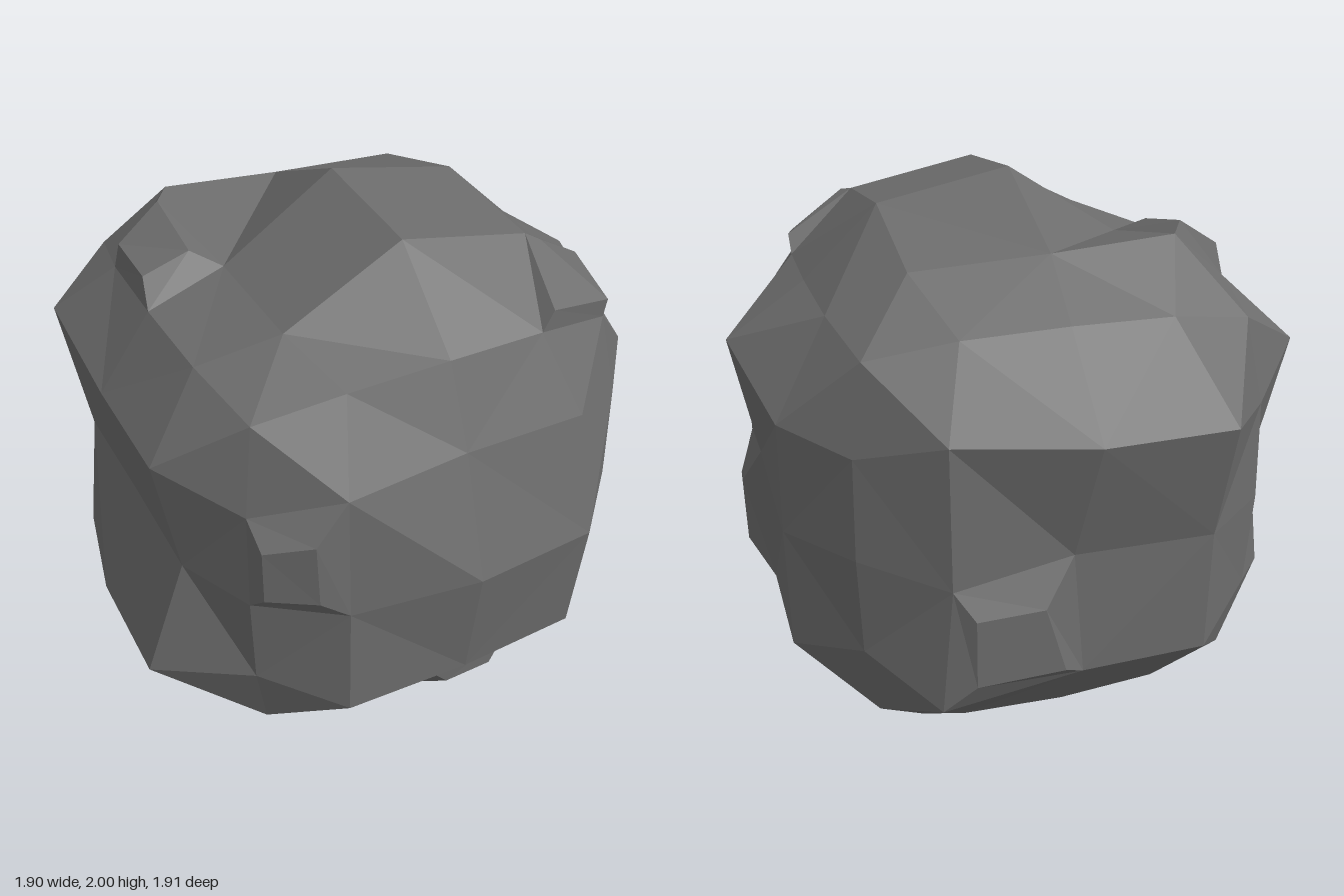
import * as THREE from 'three';

const MID = 0.99; // height of the boulder's middle

// Dents and spikes: lattice points pushed away from the regular rounded block
const moved = {
  // top
  '0,2,0': [-0.02, 2, -0.02], '0,2,1': [-0.02, 1.95, 0.42], '1,2,0': [0.43, 1.91, -0.02], '1,2,1': [0.43, 1.86, 0.42],
  '-1,2,1': [-0.42, 1.75, 0.43], '-1,2,0': [-0.41, 1.75, -0.02], '-1,2,-1': [-0.43, 1.85, -0.45],
  '0,2,-1': [-0.02, 1.82, -0.44], '1,2,-1': [0.43, 1.8, -0.43],
  // bottom
  '0,-2,0': [-0.02, 0, -0.02], '0,-2,1': [0, 0.04, 0.43], '1,-2,0': [0.43, 0.08, 0], '1,-2,1': [0.43, 0.13, 0.43],
  '-1,-2,1': [-0.43, 0.2, 0.43], '1,-2,-1': [0.43, 0.15, -0.43],
  // front
  '0,0,2': [-0.01, 1.01, 0.95], '1,0,2': [0.43, 1, 0.92], '0,-1,2': [0, 0.56, 0.89], '1,-1,2': [0.43, 0.56, 0.88],
  '-1,1,2': [-0.43, 1.43, 0.85], '0,1,2': [0, 1.41, 0.8], '1,1,2': [0.43, 1.4, 0.8],
  // left side
  '2,1,0': [0.95, 1.5, -0.02], '2,0,0': [0.875, 1.08, -0.02], '2,0,1': [0.865, 0.97, 0.41],
  '2,1,-1': [0.86, 1.38, -0.47], '2,1,1': [0.86, 1.37, 0.46],
  // right side
  '-2,-1,0': [-0.95, 0.58, -0.02], '-2,-1,1': [-0.95, 0.58, 0.42], '-2,0,0': [-0.8, 1.01, 0],
  '-2,0,1': [-0.8, 1, 0.43], '-2,0,-1': [-0.8, 1, -0.43], '-2,1,-1': [-0.86, 1.47, -0.5],
  // back
  '0,1,-2': [0, 1.4, -0.96], '-1,1,-2': [-0.43, 1.4, -0.96], '0,0,-2': [0.04, 1, -0.86],
  '1,0,-2': [0.43, 0.95, -0.875], '1,-1,-2': [0.47, 0.52, -0.88],
};

// Knobs: a cell (by its lattice middle) raised to a smaller cap
const knobs = {
  '-1.5,0.5,2': [[-0.67, 1.08, 0.77], [-0.53, 1.08, 0.86], [-0.54, 1.31, 0.86], [-0.67, 1.27, 0.77]],
  '2,-0.5,0.5': [[0.94, 0.68, 0.1], [0.94, 0.92, 0.1], [0.93, 0.86, 0.28], [0.93, 0.68, 0.28]],
  '0.5,-0.5,-2': [[0.08, 0.62, -0.92], [0.37, 0.62, -0.92], [0.37, 0.86, -0.92], [0.15, 0.86, -0.92]],
  '-1.5,2,-0.5': [[-0.66, 1.76, -0.3], [-0.66, 1.75, -0.08], [-0.5, 1.8, -0.08], [-0.5, 1.86, -0.34]],
  '1.5,2,1.5': [[0.46, 1.85, 0.46], [0.385, 1.72, 0.66], [0.63, 1.67, 0.62], [0.67, 1.72, 0.39]],
  '0.5,-2,1.5': [[0.09, 0.05, 0.53], [0.09, 0.2, 0.67], [0.28, 0.2, 0.67], [0.31, 0.09, 0.53]],
};

// Lattice point (-2..2 on each axis) to its place on the rounded block
function place(p) {
  const key = p.join();
  if (moved[key]) return moved[key];
  const outer = p.filter((c) => Math.abs(c) === 2).length;
  const inner = p.find((c) => Math.abs(c) < 2) ?? 2;
  const far = outer === 1 ? 0.865 : [0.68, 0.67, 0.62][Math.abs(inner)];
  const near = outer === 1 ? 0.43 : 0.34;
  const q = p.map((c) => (Math.abs(c) === 2 ? Math.sign(c) * far : c * near));
  return [q[0], q[1] + MID, q[2]];
}

const span = (a, b) => Math.hypot(a[0] - b[0], a[1] - b[1], a[2] - b[2]);

function boulderGeometry() {
  const out = [];
  // split each quad along its shorter diagonal
  const quad = (a, b, c, d, flip) => {
    const tris = span(a, c) <= span(b, d) ? [a, b, c, a, c, d] : [b, c, d, b, d, a];
    if (flip) tris.reverse();
    for (const p of tris) out.push(...p);
  };
  for (let axis = 0; axis < 3; axis++) {
    for (const side of [-2, 2]) {
      for (let i = -2; i < 2; i++) {
        for (let j = -2; j < 2; j++) {
          const at = (u, v) => {
            const p = [0, 0, 0];
            p[axis] = side;
            p[(axis + 1) % 3] = u;
            p[(axis + 2) % 3] = v;
            return p;
          };
          const base = [at(i, j), at(i + 1, j), at(i + 1, j + 1), at(i, j + 1)].map(place);
          const cap = knobs[at(i + 0.5, j + 0.5).join()];
          const flip = side < 0;
          quad(...(cap ?? base), flip);
          // walls between the cell's rim and its raised cap
          if (cap) {
            for (let k = 0; k < 4; k++) {
              const n = (k + 1) % 4;
              quad(base[k], base[n], cap[n], cap[k], flip);
            }
          }
        }
      }
    }
  }
  const geometry = new THREE.BufferGeometry();
  geometry.setAttribute('position', new THREE.Float32BufferAttribute(out, 3));
  geometry.computeVertexNormals();
  return geometry;
}

export function createModel() {
  const group = new THREE.Group();
  group.name = 'rock';
  const material = new THREE.MeshStandardMaterial({ color: 0x6c6c6c, flatShading: true });
  const boulder = new THREE.Mesh(boulderGeometry(), material);
  boulder.name = 'boulder';
  group.add(boulder);
  return group;
}
